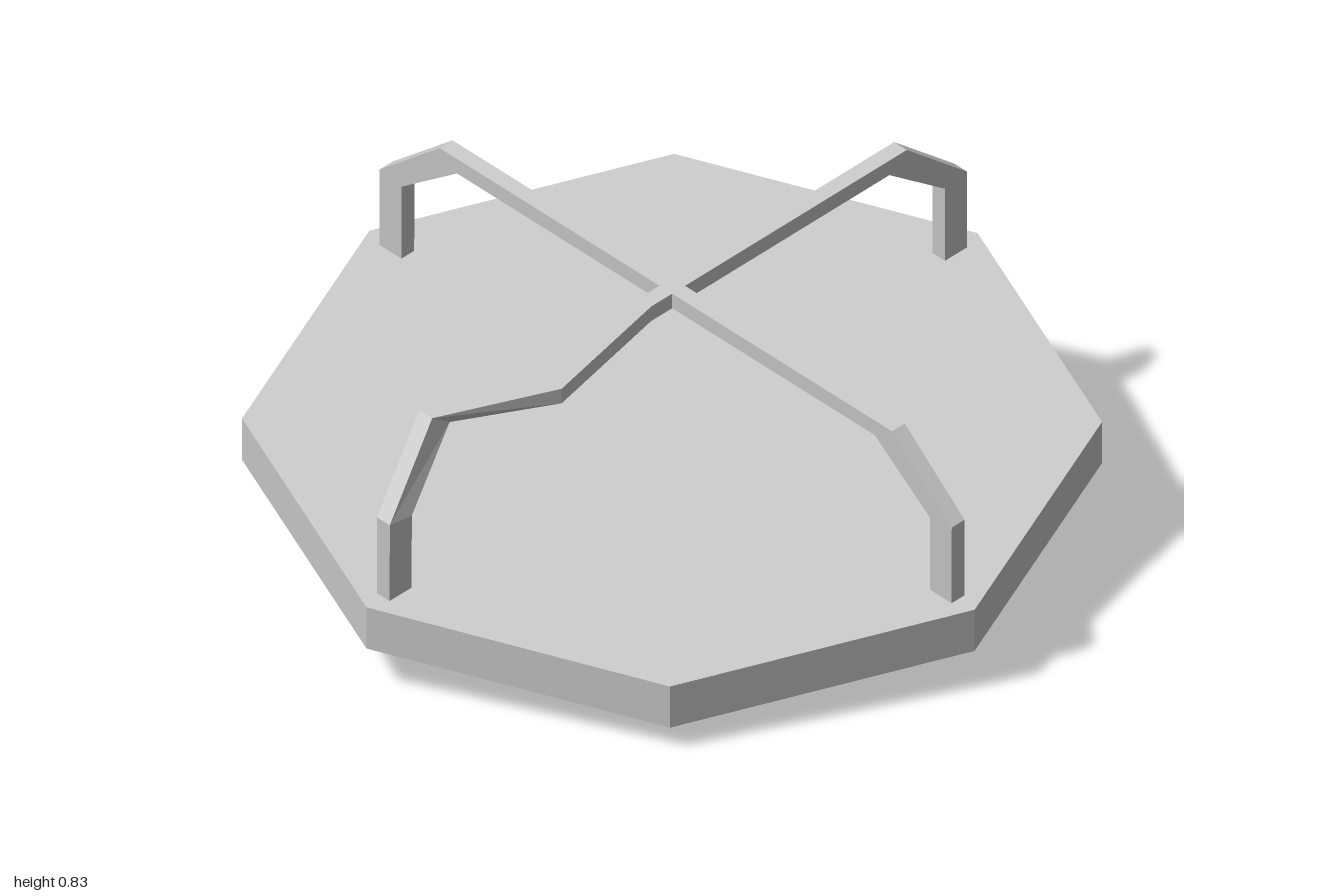
import * as THREE from 'three';

const material = new THREE.MeshStandardMaterial({ color: 0xcccccc, flatShading: true, side: THREE.DoubleSide });

// Sweeps a rectangular section through stations [outerX, outerY, innerX, innerY, sideShift]
function sweepBar(stations, halfWidth) {
  const pos = [], index = [];
  for (const [ox, oy, ix, iy, s = 0] of stations) {
    pos.push(ox, oy, s + halfWidth, ox, oy, s - halfWidth, ix, iy, s - halfWidth, ix, iy, s + halfWidth);
  }
  for (let i = 0; i < stations.length - 1; i++) {
    for (let j = 0; j < 4; j++) {
      const a = i * 4 + j, b = i * 4 + (j + 1) % 4;
      index.push(a, a + 4, b, b, a + 4, b + 4);
    }
  }
  const indexed = new THREE.BufferGeometry();
  indexed.setAttribute('position', new THREE.Float32BufferAttribute(pos, 3));
  indexed.setIndex(index);
  const geometry = indexed.toNonIndexed();
  geometry.computeVertexNormals();
  return geometry;
}

export function createModel() {
  const model = new THREE.Group();
  const tilted = new THREE.Group();
  tilted.name = 'tiltedLid';
  model.add(tilted);

  const add = (name, geometry) => {
    const mesh = new THREE.Mesh(geometry, material);
    mesh.name = name;
    tilted.add(mesh);
    return mesh;
  };

  // Octagonal plate, its top face on the local y = 0
  add('plate', new THREE.CylinderGeometry(1, 1, 0.122, 8)).position.y = -0.061;

  // Block under the plate
  add('block', new THREE.BoxGeometry(0.2, 0.22, 0.2)).position.y = -0.22;

  // Handle end: foot sunk into the plate, shoulder, start of the top bar
  const end = [[0.945, -0.03, 0.873, -0.03], [0.945, 0.224, 0.873, 0.213], [0.747, 0.398, 0.69, 0.355]];
  const start = end.map(([ox, oy, ix, iy]) => [-ox, oy, -ix, iy]);
  const finish = [...end].reverse();

  // Straight handle
  add('straightHandle', sweepBar([...start, ...finish], 0.021));

  // Crossing handle, bent sideways on its front half
  const bent = [
    ...start,
    [0.09, 0.398, 0.09, 0.355, 0],
    [0.455, 0.398, 0.455, 0.355, -0.073],
    [...finish[0], 0.06],
    ...finish.slice(1),
  ];
  add('bentHandle', sweepBar(bent, 0.021)).rotation.y = -Math.PI / 2;

  // Lean the whole assembly
  const up = new THREE.Vector3(0.129, 0.986, 0.107).normalize();
  const right = new THREE.Vector3(0.989, -0.12, -0.087).normalize();
  const front = new THREE.Vector3().crossVectors(right, up).normalize();
  right.crossVectors(up, front);
  tilted.quaternion.setFromRotationMatrix(new THREE.Matrix4().makeBasis(right, up, front));
  tilted.position.set(0.008, 0.353, 0.007);
  return model;
}
